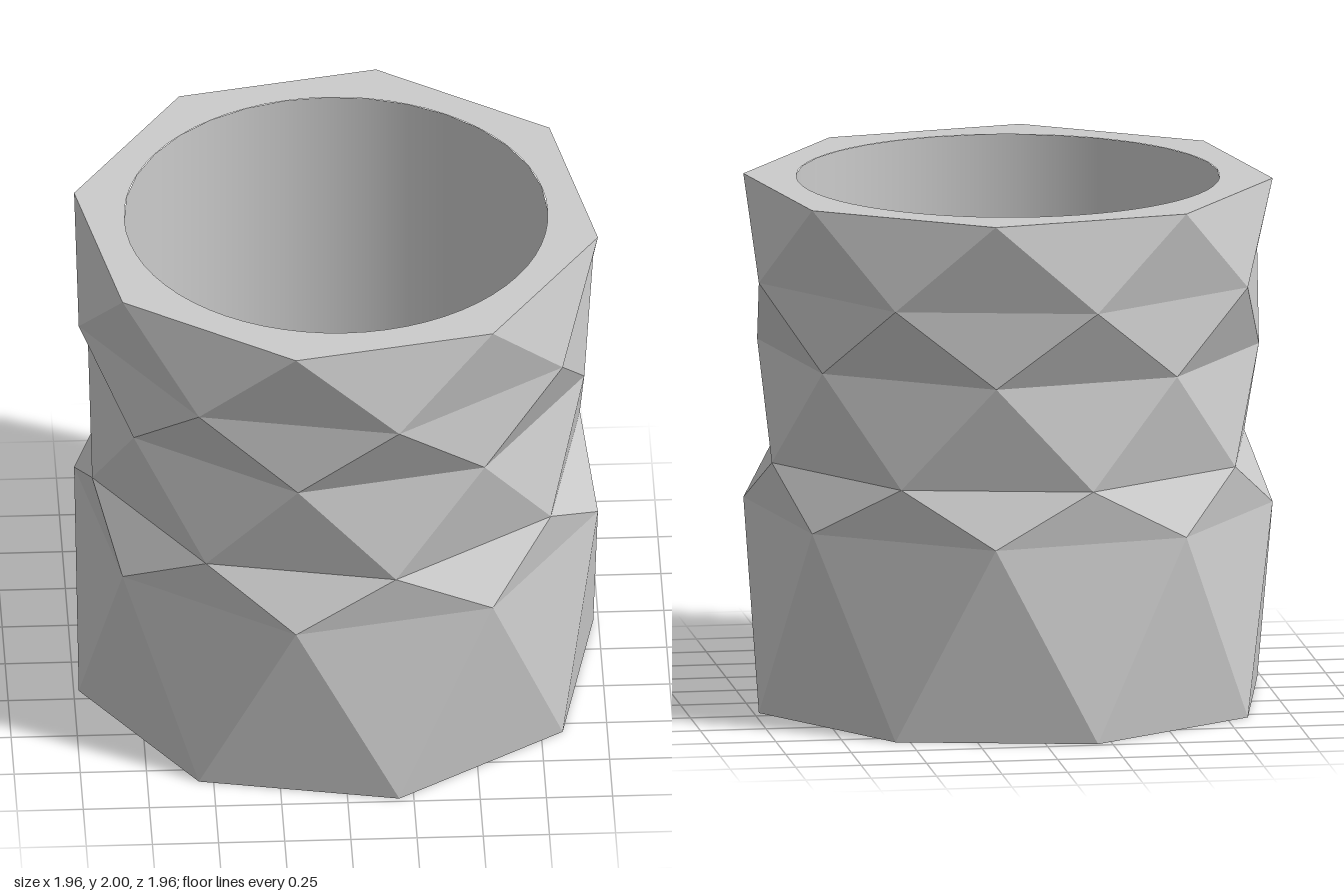
import * as THREE from 'three';

const SIDES = 8;
const HALF = Math.PI / SIDES; // half a side; neighbouring rings are turned by this
const BORE = 0.8;
const FLOOR = 0.2;
const TOP = 2;

// [height, radius] of the octagonal rings, bottom to top
const RINGS = [[0, 1], [0.755, 1], [0.96, 0.948], [1.365, 0.948], [1.655, 1], [TOP, 1]];

// Corner j, counted in half sides, of an octagon ring
function corner([y, r], j) {
  const a = (j - 0.5) * HALF;
  return new THREE.Vector3(r * Math.sin(a), y, r * Math.cos(a));
}

// Faceted wall: alternating triangles between turned octagons
function wallGeometry() {
  const points = [];
  for (let i = 0; i < RINGS.length - 1; i++) {
    const low = RINGS[i], high = RINGS[i + 1];
    for (let k = 0; k < SIDES; k++) {
      const j = 2 * k + (i % 2 ? 0 : 1);
      points.push(corner(low, j), corner(low, j + 2), corner(high, j + 1));
      points.push(corner(high, j + 3), corner(high, j + 1), corner(low, j + 2));
    }
  }
  const geometry = new THREE.BufferGeometry().setFromPoints(points);
  geometry.computeVertexNormals();
  return geometry;
}

// Flat octagon shape matching one of the rings
function octagon(ring, offset) {
  const pts = [];
  for (let k = 0; k < SIDES; k++) {
    const p = corner(ring, 2 * k + offset);
    pts.push(new THREE.Vector2(p.x, -p.z));
  }
  return new THREE.Shape(pts);
}

export function createModel() {
  const group = new THREE.Group();
  group.name = 'facetedPot';
  const flat = new THREE.MeshStandardMaterial({ color: 0xcccccc, flatShading: true });
  const inside = new THREE.MeshStandardMaterial({ color: 0xcccccc, side: THREE.BackSide });

  const add = (name, geometry, material) => {
    const mesh = new THREE.Mesh(geometry, material);
    mesh.name = name;
    group.add(mesh);
    return mesh;
  };

  add('outerWall', wallGeometry(), flat);

  // Rim with the round opening
  const rimShape = octagon(RINGS[RINGS.length - 1], 0);
  rimShape.holes.push(new THREE.Path().absarc(0, 0, BORE, 0, Math.PI * 2, true));
  const rim = new THREE.ShapeGeometry(rimShape, 32);
  add('rim', rim.rotateX(-Math.PI / 2).translate(0, TOP, 0), flat);

  // Underside
  const base = new THREE.ShapeGeometry(octagon(RINGS[0], 1));
  base.rotateX(-Math.PI / 2);
  const under = new THREE.MeshStandardMaterial({ color: 0xcccccc, side: THREE.DoubleSide });
  add('base', base, under);

  // Smooth round cavity and its floor
  const bore = new THREE.CylinderGeometry(BORE, BORE, TOP - FLOOR, 32, 1, true);
  add('innerWall', bore.translate(0, (TOP + FLOOR) / 2, 0), inside);
  const floor = new THREE.CircleGeometry(BORE, 32);
  add('innerFloor', floor.rotateX(-Math.PI / 2).translate(0, FLOOR, 0), flat);

  return group;
}
